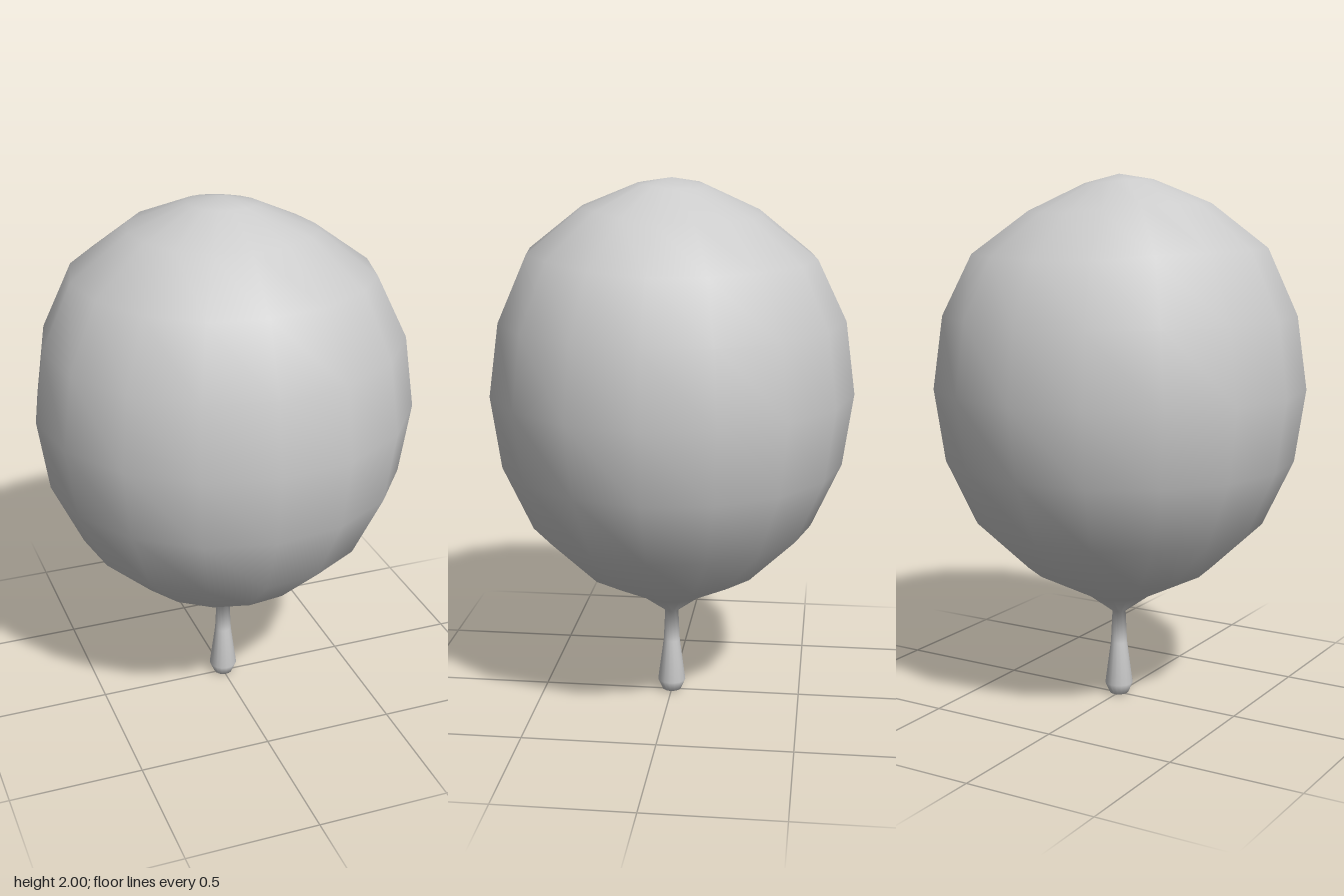
import * as THREE from 'three';
import { mergeVertices } from 'three/addons/utils/BufferGeometryUtils.js';

// Radius and height, from the tip of the neck up to the crown
const PROFILE = [
  [0, 0], [0.036, 0.004], [0.054, 0.045], [0.032, 0.21], [0.026, 0.335],
  [0.13, 0.41], [0.355, 0.522], [0.55, 0.705], [0.665, 0.95], [0.705, 1.22],
  [0.667, 1.49], [0.555, 1.735], [0.345, 1.895], [0.13, 1.98], [0, 2],
];

export function createModel() {
  const group = new THREE.Group();
  const points = PROFILE.map(([r, y]) => new THREE.Vector2(r, y));
  let geometry = new THREE.LatheGeometry(points, 16, -0.05);

  // Slightly narrower front to back, with the crown sagging a little at its back left
  const pos = geometry.attributes.position;
  for (let i = 0; i < pos.count; i++) {
    const x = pos.getX(i), y = pos.getY(i), z = pos.getZ(i);
    const crown = THREE.MathUtils.smoothstep(y, 1.5, 1.85);
    const side = Math.max(0, (x - z) * 0.707);
    pos.setY(i, y - crown * Math.min(0.03, side * 0.12));
    if (y > 0.36) pos.setZ(i, z * 0.967);
  }

  // Join the seam so that the shading stays smooth all round
  geometry.deleteAttribute('uv');
  geometry.deleteAttribute('normal');
  geometry = mergeVertices(geometry);
  geometry.computeVertexNormals();

  const balloon = new THREE.Mesh(geometry, new THREE.MeshStandardMaterial({ color: 0xcccccc }));
  balloon.name = 'balloon';
  group.add(balloon);
  return group;
}
